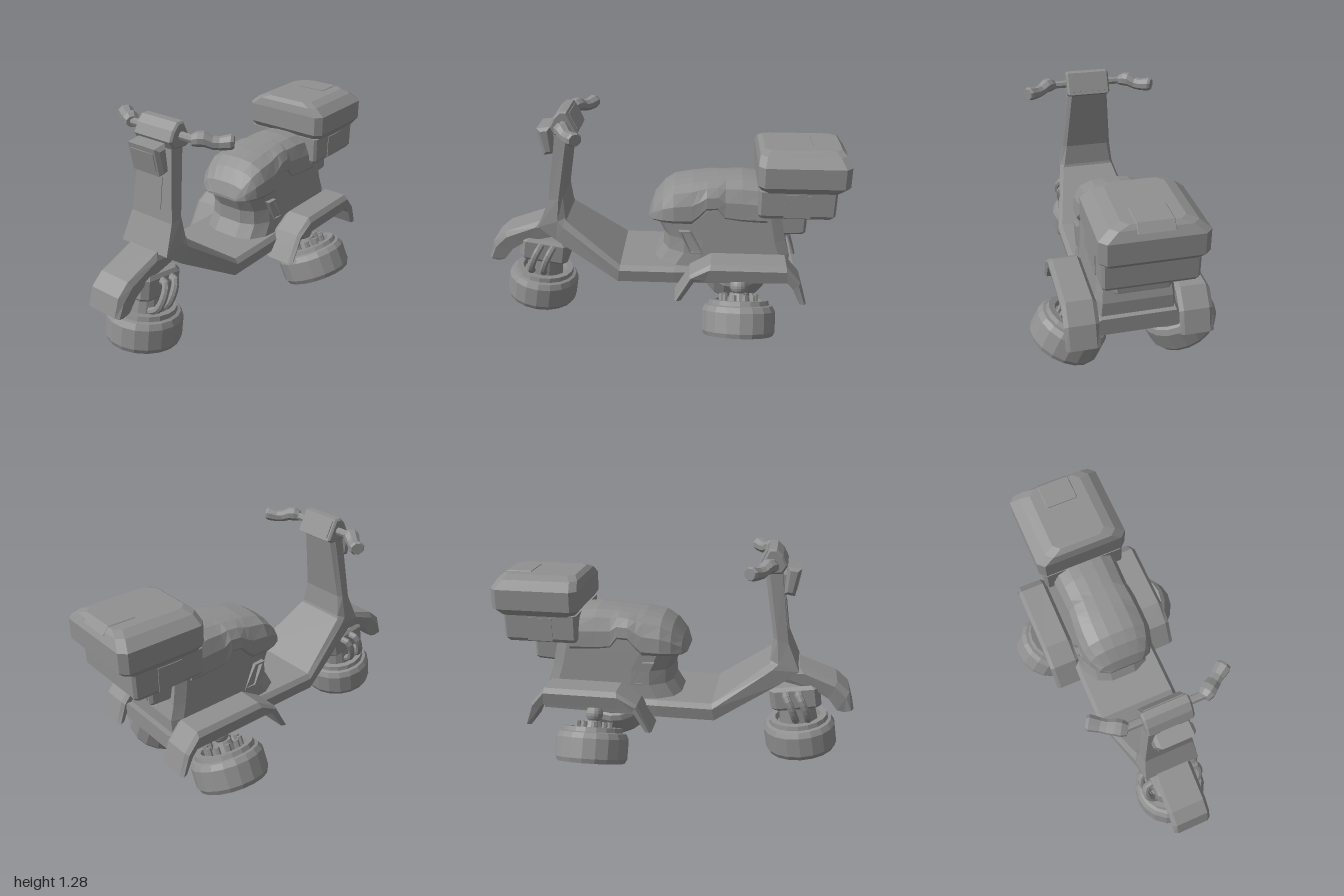
import * as THREE from 'three';

const mat = new THREE.MeshStandardMaterial({ color: 0x909090, flatShading: true });

function add(parent, name, geo, x = 0, y = 0, z = 0) {
  const m = new THREE.Mesh(geo, mat);
  m.name = name;
  m.position.set(x, y, z);
  parent.add(m);
  return m;
}

// Skin a list of equal-length rings ([x, y, z] points) and cap both ends
function loft(rings) {
  const n = rings[0].length, pos = [];
  const tri = (a, b, c) => pos.push(...a, ...b, ...c);
  for (let i = 0; i < rings.length - 1; i++) {
    for (let j = 0; j < n; j++) {
      const k = (j + 1) % n, A = rings[i], B = rings[i + 1];
      tri(A[j], B[j], B[k]);
      tri(A[j], B[k], A[k]);
    }
  }
  const first = rings[0], last = rings[rings.length - 1];
  for (let j = 1; j < n - 1; j++) {
    tri(first[0], first[j], first[j + 1]);
    tri(last[0], last[j + 1], last[j]);
  }
  // Turn the faces outward if the enclosed volume is negative
  let vol = 0;
  const a = new THREE.Vector3(), b = new THREE.Vector3(), c = new THREE.Vector3();
  for (let i = 0; i < pos.length; i += 9) {
    vol += a.fromArray(pos, i).dot(b.fromArray(pos, i + 3).cross(c.fromArray(pos, i + 6)));
  }
  if (vol < 0) {
    for (let i = 0; i < pos.length; i += 9) {
      for (let k = 0; k < 3; k++) [pos[i + 3 + k], pos[i + 6 + k]] = [pos[i + 6 + k], pos[i + 3 + k]];
    }
  }
  const g = new THREE.BufferGeometry();
  g.setAttribute('position', new THREE.Float32BufferAttribute(pos, 3));
  g.computeVertexNormals();
  return g;
}

// Thick strip across z with a chamfered top: rows of [top x, y, underside x, y, half width]
function strip(rows, chamfer) {
  return loft(rows.map(([tx, ty, ux, uy, w]) => {
    const mx = tx + (ux - tx) * 0.27, my = ty + (uy - ty) * 0.27;
    return [[tx, ty, w - chamfer], [mx, my, w], [ux, uy, w - 0.01],
      [ux, uy, 0.01 - w], [mx, my, -w], [tx, ty, chamfer - w]];
  }));
}

// Side profile in x/y extruded across z, centred on z = 0, with bevelled edges
function slab(points, width, bevel) {
  const g = new THREE.ExtrudeGeometry(new THREE.Shape(points.map(p => new THREE.Vector2(...p))), {
    depth: width - 2 * bevel, bevelThickness: bevel, bevelSize: bevel, bevelOffset: -bevel, bevelSegments: 1,
  });
  return g.translate(0, 0, bevel - width / 2);
}

// Box whose corners are cut, stacked from levels [y, x0, x1, halfWidth]
function chamferBox(levels, c) {
  return loft(levels.map(([y, x0, x1, w]) => [
    [x0, y, w - c], [x0 + c, y, w], [x1 - c, y, w], [x1, y, w - c],
    [x1, y, c - w], [x1 - c, y, -w], [x0 + c, y, -w], [x0, y, c - w],
  ]));
}

// Hover wheel: hollow underside, fat rim, raised inner ring
function hoverWheel(name) {
  const g = new THREE.Group();
  g.name = name;
  const profile = [[0, 0.045], [0.16, 0.045], [0.175, 0], [0.192, 0], [0.204, 0.025], [0.204, 0.135], [0.188, 0.165],
    [0.17, 0.17], [0.165, 0.195], [0.13, 0.195], [0.12, 0.165], [0, 0.165]];
  add(g, 'wheelRim', new THREE.LatheGeometry(profile.map(p => new THREE.Vector2(...p)), 18));
  return g;
}

export function createModel() {
  const model = new THREE.Group();
  model.name = 'hoverScooter';

  // Steering column, leg shield and floor
  add(model, 'columnAndFloor', strip([
    [-0.485, 1.155, -0.575, 1.155, 0.118], [-0.545, 0.8, -0.625, 0.78, 0.148],
    [-0.535, 0.68, -0.69, 0.625, 0.167], [-0.53, 0.665, -0.59, 0.55, 0.175], [-0.225, 0.435, -0.24, 0.34, 0.245],
    [0.08, 0.435, 0.08, 0.34, 0.245], [0.74, 0.435, 0.74, 0.34, 0.22],
  ], 0.022));
  add(model, 'columnPanel', new THREE.BoxGeometry(0.02, 0.17, 0.12), -0.6, 0.92, 0).rotation.z = -0.13;

  // Front fender
  add(model, 'frontFender', strip([[-1, 0.4, -0.95, 0.38, 0.11], [-0.97, 0.5, -0.91, 0.39, 0.112],
    [-0.9, 0.56, -0.86, 0.455, 0.112], [-0.69, 0.635, -0.78, 0.505, 0.112], [-0.56, 0.6, -0.6, 0.545, 0.112]], 0.02));

  // Front wheel with its suspension block and hoses
  const front = hoverWheel('frontWheel');
  front.position.set(-0.73, 0.11, 0);
  front.rotation.z = -0.155;
  add(front, 'hub', new THREE.CylinderGeometry(0.095, 0.11, 0.17, 16), 0, 0.235, 0);
  add(front, 'suspensionBlock', chamferBox([[0.275, -0.13, 0.13, 0.11], [0.29, -0.14, 0.14, 0.12],
    [0.39, -0.14, 0.14, 0.12], [0.41, -0.125, 0.125, 0.105]], 0.03));
  for (const s of [-1, 1]) {
    for (const x of [-0.04, 0.03]) {
      const hose = new THREE.CatmullRomCurve3([[x + 0.02, 0.37, 0.1], [x + 0.015, 0.37, 0.15],
        [x - 0.005, 0.31, 0.165], [x - 0.02, 0.23, 0.14], [x - 0.02, 0.2, 0.09]]
        .map(p => new THREE.Vector3(p[0], p[1], p[2] * s)));
      add(front, 'hose', new THREE.TubeGeometry(hose, 10, 0.021, 8));
    }
  }
  model.add(front);

  // Body under the seat: [y, front x, rear x, half width]
  const body = [[0.43, -0.04, 0.71, 0.215], [0.51, 0.01, 0.71, 0.208], [0.59, 0.012, 0.685, 0.2],
    [0.69, -0.035, 0.665, 0.19], [0.78, 0.06, 0.65, 0.18], [0.81, 0.1, 0.6, 0.13]];
  add(model, 'body', loft(body.map(([y, x0, x1, w]) => {
    const half = [[x0, 0.35], [x0 + 0.035, 0.72], [x0 + 0.12, 0.95], [x0 + 0.22, 1], [x1 - 0.06, 1], [x1, 0.88]];
    return [...half.map(([x, k]) => [x, y, k * w]), ...half.reverse().map(([x, k]) => [x, y, -k * w])];
  })));

  // Seat with an arched lower edge: [x, bottom y, top y, half width]
  const seat = [[-0.07, 0.685, 0.7, 0.1], [-0.045, 0.685, 0.77, 0.155], [0.01, 0.685, 0.84, 0.19],
    [0.07, 0.685, 0.88, 0.207], [0.17, 0.685, 0.9, 0.207], [0.205, 0.715, 0.903, 0.203], [0.25, 0.765, 0.907, 0.198],
    [0.31, 0.765, 0.912, 0.192], [0.35, 0.705, 0.915, 0.192], [0.44, 0.695, 0.92, 0.195], [0.58, 0.695, 0.905, 0.2]];
  add(model, 'seat', loft(seat.map(([x, b, t, w]) => {
    const h = t - b;
    const half = [[b, 0.93], [b + h * 0.1, 1], [b + h * 0.5, 0.96], [b + h * 0.82, 0.8], [b + h * 0.96, 0.5], [t, 0.2]];
    return [...half.map(([y, k]) => [x, y, k * w]), ...half.reverse().map(([y, k]) => [x, y, -k * w])];
  })));

  // Handlebar head with dash, headlight and mount
  add(model, 'handlebarHead', slab([[-0.6, 1.2], [-0.575, 1.25], [-0.54, 1.285], [-0.5, 1.285],
    [-0.445, 1.17], [-0.48, 1.15], [-0.575, 1.155]], 0.25, 0.01));
  add(model, 'dashPanel', new THREE.BoxGeometry(0.012, 0.095, 0.21), -0.474, 1.228, 0).rotation.z = 0.446;
  add(model, 'headlight', slab([[-0.675, 1.18], [-0.6, 1.19], [-0.585, 1.04], [-0.645, 1.03]], 0.21, 0.018));
  add(model, 'headlightLens', new THREE.BoxGeometry(0.01, 0.1, 0.15), -0.659, 1.105, 0).rotation.z = 0.2;
  add(model, 'headlightMount', new THREE.BoxGeometry(0.06, 0.07, 0.1), -0.58, 1.1, 0);

  for (const s of [-1, 1]) {
    // Handlebar and bent, blocky grip
    const bar = add(model, 'handlebar', new THREE.CylinderGeometry(0.022, 0.022, 0.14, 8), -0.52, 1.215, s * 0.165);
    bar.rotation.x = Math.PI / 2;
    const grip = [[-0.53, 1.215, 0.2, 0.033], [-0.515, 1.222, 0.225, 0.043], [-0.497, 1.222, 0.25, 0.043],
      [-0.475, 1.204, 0.285, 0.037], [-0.455, 1.202, 0.31, 0.037], [-0.425, 1.21, 0.355, 0.043], [-0.417, 1.21, 0.367, 0.035]];
    add(model, 'grip', loft(grip.map(([x, y, z, r]) => Array.from({ length: 8 }, (_, i) => {
      const a = (i + 0.5) * Math.PI / 4, d = r * Math.cos(a);
      return [x + d * 0.83, y + 0.9 * r * Math.sin(a), s * (z - d * 0.55)];
    }))));

    // Rear fender
    add(model, 'rearFender', strip([[0.085, 0.31, 0.12, 0.31, 0.09], [0.165, 0.46, 0.19, 0.425, 0.09],
      [0.28, 0.53, 0.25, 0.435, 0.09], [0.68, 0.53, 0.69, 0.435, 0.09], [0.76, 0.435, 0.72, 0.4, 0.09],
      [0.797, 0.31, 0.762, 0.31, 0.09]], 0.022), 0, 0, s * 0.297);

    // Side vent frame
    const vent = new THREE.Shape([[0.1, 0.645], [0.165, 0.645], [0.24, 0.51], [0.165, 0.51]]
      .map(p => new THREE.Vector2(...p)));
    vent.holes.push(new THREE.Path([[0.115, 0.635], [0.168, 0.52], [0.223, 0.52], [0.16, 0.635]]
      .map(p => new THREE.Vector2(...p))));
    add(model, 'sideVent', new THREE.ExtrudeGeometry(vent, { depth: 0.03, bevelEnabled: false }),
      0, 0, s * 0.196 - 0.015);

    // Rear hover wheel, tilted outward, with studs and a ball joint
    const rear = hoverWheel('rearWheel');
    rear.position.set(0.44, 0.087, s * 0.35);
    rear.rotation.x = -s * 0.447;
    add(rear, 'hub', new THREE.CylinderGeometry(0.05, 0.07, 0.07, 12), 0, 0.195, 0);
    add(rear, 'ballJoint', new THREE.SphereGeometry(0.05, 14, 10), 0, 0.27, 0);
    for (let i = 0; i < 10; i++) {
      const a = i * Math.PI / 5;
      add(rear, 'stud', new THREE.CylinderGeometry(0.016, 0.016, 0.07, 6), 0.095 * Math.cos(a), 0.19, 0.095 * Math.sin(a));
    }
    const strut = add(model, 'wheelStrut', new THREE.CylinderGeometry(0.025, 0.025, 0.08, 8), 0.44, 0.345, s * 0.215);
    strut.rotation.x = -s * 0.447;
    model.add(rear);

    // Case latch
    add(model, 'caseLatch', new THREE.BoxGeometry(0.14, 0.13, 0.02), 0.73, 0.82, s * 0.23);
  }

  // Luggage case and lid
  add(model, 'caseBase', chamferBox([[0.745, 0.535, 0.92, 0.225], [0.765, 0.525, 0.935, 0.236],
    [0.9, 0.525, 0.937, 0.236]], 0.014));
  add(model, 'caseLid', chamferBox([[0.895, 0.54, 0.965, 0.237], [0.93, 0.515, 1, 0.26], [1.04, 0.515, 1, 0.26],
    [1.085, 0.525, 0.975, 0.205], [1.105, 0.55, 0.955, 0.15]], 0.035));
  add(model, 'lidHandle', slab([[0.81, 1.08], [0.81, 1.109], [0.955, 1.109], [0.99, 1.07], [0.95, 1.05]], 0.18, 0.004));

  // Tail light
  add(model, 'tailLight', slab([[0.64, 0.75], [0.8, 0.75], [0.797, 0.625], [0.78, 0.612], [0.66, 0.605]], 0.29, 0.015));
  add(model, 'tailLens', new THREE.BoxGeometry(0.012, 0.105, 0.23), 0.796, 0.69, 0);

  return model;
}
